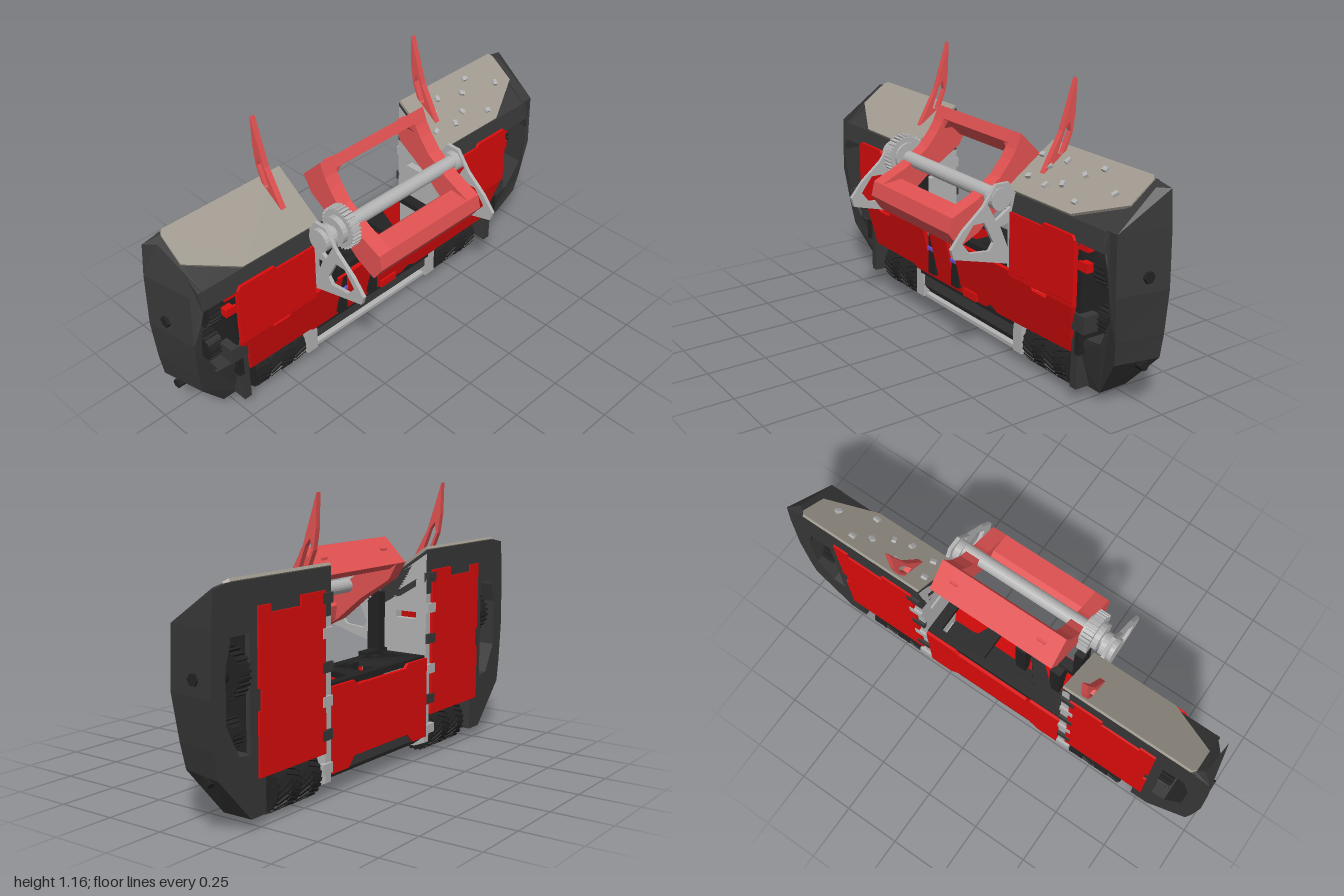
import * as THREE from 'three';

const mat = (color) => new THREE.MeshStandardMaterial({ color, flatShading: true });
const dark = mat(0x383838), black = mat(0x222222), red = mat(0xdd0c0c), coral = mat(0xe25252);
const grey = mat(0xb4b4b4), taupe = mat(0xa09a8f), purple = mat(0x6a55dd);

export function createModel() {
  const root = new THREE.Group();
  const add = (name, geo, m, parent = root) => {
    const mesh = new THREE.Mesh(geo, m);
    mesh.name = name;
    parent.add(mesh);
    return mesh;
  };
  const box = (name, m, x0, x1, y0, y1, z0, z1) => {
    const b = add(name, new THREE.BoxGeometry(Math.abs(x1 - x0), y1 - y0, z1 - z0), m);
    b.position.set((x0 + x1) / 2, (y0 + y1) / 2, (z0 + z1) / 2);
    return b;
  };
  const makeShape = (pts, holes, k) => {
    const v = (list) => list.map(([a, b]) => new THREE.Vector2(a * k, b));
    const shape = new THREE.Shape(v(pts));
    for (const h of holes) shape.holes.push(new THREE.Path(v(h)));
    return shape;
  };
  // outline in (x, y), thickness along z
  const frontGeo = (pts, z0, z1, s = 1, holes = []) =>
    new THREE.ExtrudeGeometry(makeShape(pts, holes, s), { depth: z1 - z0, bevelEnabled: false }).translate(0, 0, z0);
  // outline in (z, y), thickness along x
  const sideGeo = (pts, x0, x1, holes = []) => {
    const a = Math.min(x0, x1), b = Math.max(x0, x1);
    return new THREE.ExtrudeGeometry(makeShape(pts, holes, -1), { depth: b - a, bevelEnabled: false })
      .rotateY(Math.PI / 2).translate(a, 0, 0);
  };
  const rod = (name, m, r, x0, x1, y, z, sides = 20) => {
    const c = add(name, new THREE.CylinderGeometry(r, r, Math.abs(x1 - x0), sides).rotateZ(Math.PI / 2), m);
    c.position.set((x0 + x1) / 2, y, z);
    return c;
  };
  // toothed wheel on an x axis
  const gear = (name, m, r, x0, x1, y, z, teeth) => {
    const g = new THREE.Group();
    g.name = name;
    g.position.set((x0 + x1) / 2, y, z);
    root.add(g);
    const w = Math.abs(x1 - x0);
    add('gearCore', new THREE.CylinderGeometry(r * 0.9, r * 0.9, w, 28).rotateZ(Math.PI / 2), m, g);
    for (let i = 0; i < teeth; i++) {
      const t = add('gearTooth', new THREE.BoxGeometry(w, r * 0.14, r * 2.4 / teeth), m, g);
      const a = i / teeth * Math.PI * 2;
      t.position.set(0, Math.cos(a) * r * 0.93, Math.sin(a) * r * 0.93);
      t.rotation.x = a;
    }
  };

  // front depth of the side guards by height
  const curve = [[0.04, -0.12], [0.15, -0.075], [0.45, -0.035], [0.65, -0.01], [0.735, -0.03], [0.89, -0.24]];
  const frontZ = (y) => {
    for (let i = 1; i < curve.length; i++) {
      const [a, za] = curve[i - 1], [b, zb] = curve[i];
      if (y <= b) return za + (zb - za) * Math.max(0, (y - a) / (b - a));
    }
    return -0.24;
  };

  for (const s of [1, -1]) {
    // outer guard, tapering toward the front
    const guard = frontGeo([[0.9, 0.885], [0.98, 0.87], [0.993, 0.735], [1, 0.5], [0.985, 0.32], [0.97, 0.22],
      [0.8, 0.04], [0.72, 0.04], [0.72, 0.2], [0.78, 0.27], [0.86, 0.28], [0.925, 0.4], [0.925, 0.6],
      [0.9, 0.68], [0.9, 0.735]], 0, 1, s);
    const p = guard.attributes.position;
    for (let i = 0; i < p.count; i++) {
      const x = Math.abs(p.getX(i)), t = p.getZ(i);
      p.setX(i, s * (x - t * 0.04 * Math.max(0, Math.min(1, (x - 0.93) / 0.04))));
      p.setZ(i, -0.25 + t * (frontZ(p.getY(i)) + 0.25));
    }
    guard.computeVertexNormals();
    add('sideGuard', guard, dark);
    rod('guardScrew', black, 0.024, s * 0.96, s * 0.992, 0.56, -0.16, 6);
    rod('guardScrew', black, 0.02, s * 0.9, s * 0.965, 0.2, -0.185, 6);

    // sloping cover with plate
    add('topCover', sideGeo([[-0.25, 0.885], [-0.03, 0.73], [-0.012, 0.655], [-0.04, 0.645], [-0.1, 0.68], [-0.25, 0.7]],
      s * 0.335, s * 0.915), dark);
    const slope = Math.atan2(0.155, 0.22);
    const plate = add('topPlate', frontGeo([[0.335, 0.27], [0.895, 0.27], [0.91, 0.25], [0.91, 0.12], [0.71, 0],
      [0.335, 0]], 0, 0.012, s), taupe);
    plate.rotation.x = slope - Math.PI / 2;
    plate.position.set(0, 0.733, -0.03);
    if (s > 0) {
      for (const [x, d] of [[0.36, 0.19], [0.39, 0.08], [0.44, 0.15], [0.5, 0.07], [0.5, 0.2], [0.57, 0.1],
        [0.63, 0.17], [0.69, 0.05], [0.69, 0.22], [0.82, 0.14]]) {
        const stud = add('plateStud', new THREE.BoxGeometry(0.025, 0.018, 0.014), grey, plate);
        stud.position.set(x, d, 0.017);
        stud.rotation.z = x * 9;
      }
    }
    // upright fin
    add('fin', sideGeo([[-0.265, 1.16], [-0.2, 0.96], [-0.105, 0.79], [-0.12, 0.775], [-0.21, 0.85], [-0.25, 0.95],
      [-0.262, 1.03]], s * 0.418, s * 0.442,
    [[[-0.235, 0.995], [-0.213, 0.965], [-0.18, 0.875], [-0.205, 0.87], [-0.242, 0.955]]]), coral);

    // bay walls
    add('innerWall', sideGeo([[-0.25, 0.87], [-0.25, 0.06], [-0.2, 0.04], [-0.1, 0.04], [-0.075, 0.15], [-0.03, 0.4],
      [-0.03, 0.72]], s * 0.335, s * 0.368,
    [[[-0.2, 0.76], [-0.1, 0.7], [-0.1, 0.67], [-0.2, 0.73]], [[-0.2, 0.62], [-0.1, 0.62], [-0.1, 0.59], [-0.2, 0.59]]]), grey);
    box('outerWall', black, s * 0.74, s * 0.765, 0.2, 0.7, -0.245, -0.04);
    box('backStrip', dark, s * 0.74, s * 0.8, 0.2, 0.8, -0.25, -0.23);
    box('guardPost', dark, s * 0.71, s * 0.745, 0.05, 0.36, -0.16, -0.05);
    box('guardBrace', dark, s * 0.72, s * 0.8, 0.3, 0.37, -0.1, -0.03);
    box('bearingBlock', grey, s * 0.33, s * 0.385, 0.045, 0.18, -0.21, -0.07);

    // lifter bracket
    add('lifterBracket', sideGeo([[0.265, 0.56], [0.253, 0.52], [0, 0.45], [-0.1, 0.45], [-0.1, 0.7], [-0.02, 0.745],
      [0, 0.78], [0.06, 0.78], [0.12, 0.7], [0.21, 0.625]], s * 0.364, s * 0.38, [
      [[0.215, 0.575], [0.165, 0.64], [0.115, 0.64], [0.07, 0.55], [0.09, 0.52], [0.18, 0.53]],
      [[0.1, 0.71], [0.06, 0.765], [0.0, 0.74], [-0.01, 0.68], [0.06, 0.635]],
      [[0.04, 0.61], [-0.02, 0.62], [-0.02, 0.5], [-0.005, 0.5]]]), grey);

    // red armour, front and back
    add('frontSidePlate', frontGeo([[0.38, 0.4], [0.76, 0.4], [0.76, 0.66], [0.745, 0.675], [0.58, 0.675],
      [0.57, 0.66], [0.38, 0.66]], -0.025, -0.004, s), red);
    add('backSidePlate', frontGeo([[0.375, 0.18], [0.76, 0.18], [0.76, 0.42], [0.745, 0.42], [0.745, 0.5], [0.76, 0.5],
      [0.76, 0.79], [0.69, 0.79], [0.69, 0.76], [0.52, 0.76], [0.52, 0.8], [0.375, 0.8]], -0.258, -0.238, s), red);
    for (let i = 0; i < 6; i++) {
      box('wallTab', i % 2 ? dark : grey, s * 0.335, s * 0.395, 0.1 + i * 0.13, 0.14 + i * 0.13, -0.261, -0.24);
    }

    // drive wheel with slanted tread
    const wheel = new THREE.Group();
    wheel.name = 'wheel';
    wheel.position.set(s * 0.528, 0.1, -0.16);
    root.add(wheel);
    add('tyre', new THREE.CylinderGeometry(0.092, 0.092, 0.26, 32).rotateZ(Math.PI / 2), black, wheel);
    for (let i = 0; i < 24; i++) {
      for (let j = 0; j < 4; j++) {
        const a = (i + (j % 2) * 0.5) / 24 * Math.PI * 2;
        const t = add('tread', new THREE.BoxGeometry(0.062, 0.01, 0.012), black, wheel);
        t.position.set(-0.096 + j * 0.064, Math.cos(a) * 0.094, Math.sin(a) * 0.094);
        t.rotation.set(a, (j % 2 ? 1 : -1) * 0.35, 0);
      }
    }
    rod('axle', grey, 0.025, s * 0.37, s * 0.73, 0.1, -0.16);
    rod('axleCollar', grey, 0.04, s * 0.66, s * 0.69, 0.1, -0.16);

    // drive pulleys in the side opening
    gear('upperPulley', black, 0.1, s * 0.8, s * 0.855, 0.56, -0.16, 26);
    rod('pulleyHub', black, 0.045, s * 0.76, s * 0.885, 0.56, -0.16);
    gear('lowerPulley', black, 0.06, s * 0.785, s * 0.85, 0.34, -0.15, 18);
    for (const y of [0.56, 0.64]) box('redSpacer', red, s * 0.755, s * 0.805, y - 0.018, y + 0.018, -0.06, -0.03);
  }

  // lower front armour with slots, leaning back toward the bottom
  const slot = (x) => [[x, 0.215], [x + 0.048, 0.215], [x + 0.048, 0.415], [x, 0.415]];
  const front = frontGeo([[-0.76, 0.42], [-0.62, 0.42], [-0.6, 0.38], [-0.52, 0.38], [-0.5, 0.42], [0.5, 0.42],
    [0.52, 0.38], [0.6, 0.38], [0.62, 0.42], [0.76, 0.42], [0.7, 0.19], [0.24, 0.175], [0.2, 0.2], [0.16, 0.175],
    [-0.36, 0.175], [-0.38, 0.19], [-0.7, 0.19], [-0.72, 0.36], [-0.76, 0.38]], -0.02, 0, 1, [slot(-0.235), slot(-0.06)]);
  const fp = front.attributes.position;
  for (let i = 0; i < fp.count; i++) fp.setZ(i, fp.getZ(i) - 0.003 - (0.42 - fp.getY(i)) * 0.22);
  front.computeVertexNormals();
  add('frontLowerPlate', front, red);
  box('redTab', red, 0.02, 0.11, 0.18, 0.215, -0.06, -0.04);

  // belts behind the slots
  for (const x of [-0.211, -0.036]) {
    box('belt', black, x - 0.025, x + 0.025, 0.2, 0.44, -0.1, -0.035);
    box('beltSpacer', purple, x - 0.024, x + 0.024, 0.31, 0.325, -0.08, -0.028);
  }
  box('beltArm', black, -0.31, -0.27, 0.42, 0.7, -0.06, 0.0);
  box('frontLip', black, -0.33, -0.18, 0.42, 0.455, -0.06, -0.015);

  // centre deck truss
  const deck = add('deckTruss', frontGeo([[-0.335, 0.03], [0.335, 0.03], [0.335, 0.245], [-0.335, 0.245]], 0, 0.025, 1, [
    [[-0.29, 0.06], [-0.12, 0.06], [-0.29, 0.21]], [[-0.07, 0.07], [0.07, 0.07], [0.07, 0.21], [-0.18, 0.21]],
    [[0.12, 0.06], [0.29, 0.06], [0.29, 0.21], [0.18, 0.21]]]), black);
  deck.rotation.x = -Math.PI / 2;
  deck.position.y = 0.415;
  box('bayFloor', black, -0.335, 0.335, 0.16, 0.18, -0.24, -0.06);

  // centre back plate and bottom bar
  add('backCentrePlate', frontGeo([[-0.335, 0.43], [-0.19, 0.43], [-0.17, 0.41], [0.17, 0.41], [0.19, 0.43], [0.335, 0.43],
    [0.335, 0.09], [0.23, 0.09], [0.19, 0.13], [-0.19, 0.13], [-0.23, 0.09], [-0.335, 0.09]], -0.258, -0.238), red);
  add('bottomBar', sideGeo([[-0.08, 0.165], [-0.075, 0.1], [-0.11, 0.055], [-0.2, 0.05], [-0.25, 0.09], [-0.25, 0.16]],
    -0.335, 0.335), dark);
  for (const y of [0.05, 0.168]) box('barTrim', grey, -0.33, 0.33, y - 0.008, y + 0.008, -0.12, -0.082);

  // lifter frame
  const frame = new THREE.Group();
  frame.name = 'lifterFrame';
  root.add(frame);
  const cheek = [[0.235, 0.6], [0.22, 0.66], [0.1, 0.715], [0, 0.78], [-0.05, 0.84], [-0.075, 0.88], [-0.1, 0.94],
    [-0.2, 0.84], [-0.16, 0.77], [-0.02, 0.68], [0.1, 0.58], [0.19, 0.535]];
  add('frameCheek', sideGeo(cheek, -0.25, -0.185), coral, frame);
  add('frameCheek', sideGeo(cheek, 0.255, 0.32), coral, frame);
  add('frameTopBar', sideGeo([[-0.1, 0.94], [-0.08, 0.895], [-0.165, 0.815], [-0.2, 0.84]], -0.19, 0.26), coral, frame);
  add('frameFrontBar', sideGeo([[0.235, 0.6], [0.22, 0.66], [0.13, 0.67], [0.1, 0.64], [0.11, 0.58], [0.19, 0.535]],
    -0.19, 0.26), coral, frame);
  // corner fillets under the top bar
  for (const [x, d] of [[-0.187, 1], [0.257, -1]]) {
    add('frameFillet', frontGeo([[x, 0.9], [x + d * 0.04, 0.9], [x, 0.85]], -0.15, -0.085), coral, frame);
  }

  // lifter pivot
  rod('pivotShaft', grey, 0.03, -0.38, 0.38, 0.73, 0.05).scale.set(1, 1, 1);
  gear('lifterGear', grey, 0.09, -0.305, -0.262, 0.735, 0.05, 30);
  rod('gearHub', grey, 0.06, -0.33, -0.25, 0.735, 0.05);
  rod('pivotHub', grey, 0.05, -0.4, -0.34, 0.72, 0.04);
  rod('pivotHub', grey, 0.045, 0.335, 0.385, 0.72, 0.04);
  return root;
}
